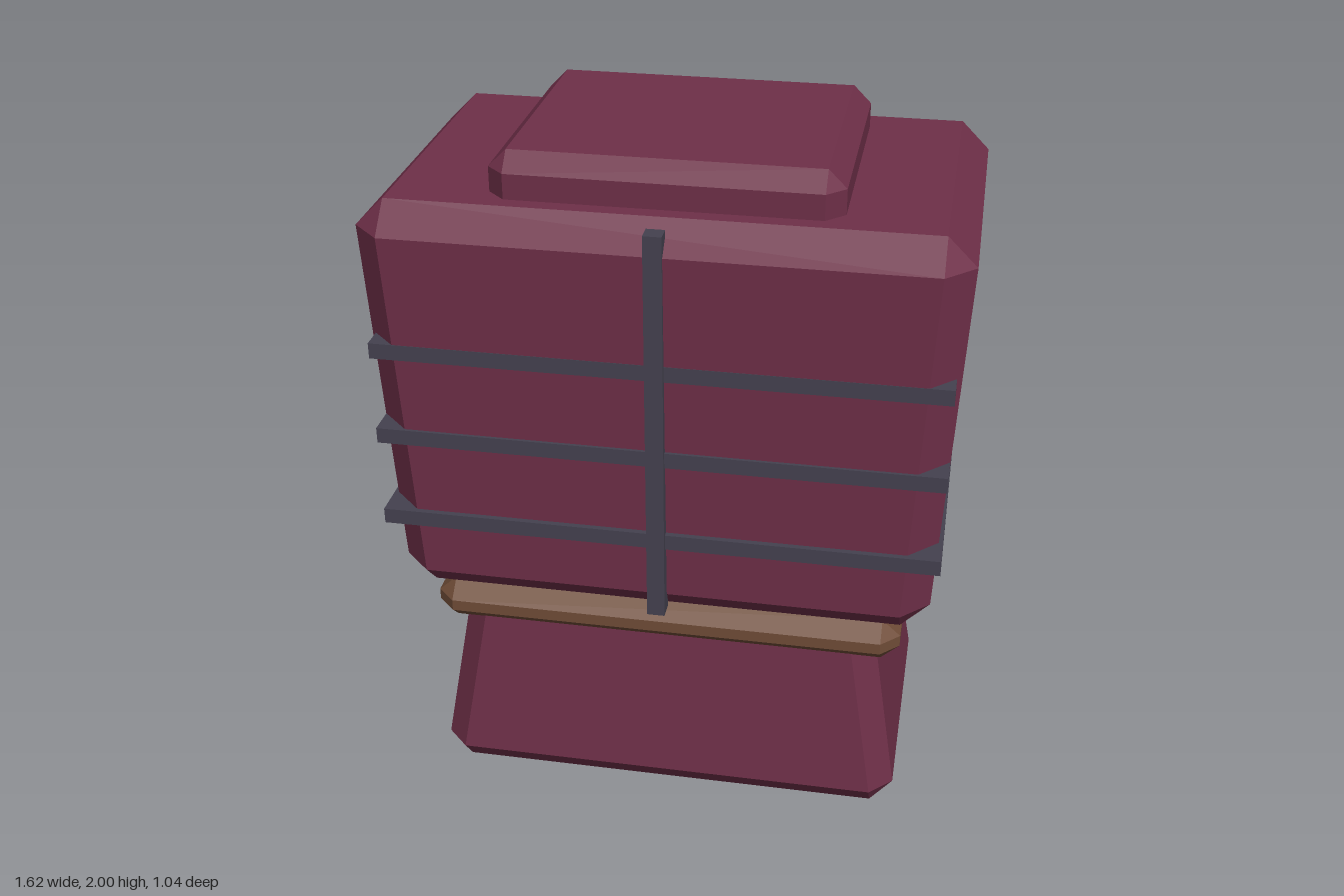
import * as THREE from 'three';
import { ConvexGeometry } from 'three/addons/geometries/ConvexGeometry.js';

const mat = (name, color) => {
  const m = new THREE.MeshStandardMaterial({ color });
  m.name = name;
  return m;
};

// Box with chamfered edges and corners; low and high are the half sizes [x, z]
// at the lower and upper chamfer lines, so the sides may taper.
function chamferBox(y0, y1, low, high, inset, rise = inset) {
  const pts = [];
  const ends = [[y0, y0 + rise, low], [y1, y1 - rise, high]];
  for (const [yCap, yRing, [hx, hz]] of ends)
    for (const sx of [-1, 1])
      for (const sz of [-1, 1])
        pts.push(
          new THREE.Vector3(sx * (hx - inset), yCap, sz * (hz - inset)),
          new THREE.Vector3(sx * hx, yRing, sz * (hz - inset)),
          new THREE.Vector3(sx * (hx - inset), yRing, sz * hz)
        );
  return new ConvexGeometry(pts);
}

export function createModel() {
  const group = new THREE.Group();
  const maroon = mat('maroon', 0x6e2f48);
  const brown = mat('brown', 0x6f4c37);
  const slate = mat('slate', 0x44414f);

  const add = (name, geometry, material, y = 0, z = -0.003) => {
    const mesh = new THREE.Mesh(geometry, material);
    mesh.name = name;
    mesh.position.set(0, y, z);
    group.add(mesh);
  };

  // Main masses, from the ground up
  add('base', chamferBox(0, 0.65, [0.69, 0.433], [0.608, 0.382], 0.066, 0.08), maroon);
  add('collar', chamferBox(0.54, 0.67, [0.683, 0.432], [0.683, 0.432], 0.053, 0.048), brown);
  add('body', chamferBox(0.68, 1.88, [0.76, 0.487], [0.812, 0.517], 0.08), maroon);
  add('topSlab', chamferBox(1.8, 2, [0.47, 0.392], [0.47, 0.392], 0.05), maroon);

  // Horizontal bands through the body, emerging at its faces and corners
  for (const y of [0.947, 1.207, 1.467])
    add('band', new THREE.BoxGeometry(1.565, 0.045, 1.019), slate, y);

  // Upright strip on the front
  add('frontStrip', new THREE.BoxGeometry(0.05, 1.15, 0.05), slate, 1.285, 0.495);

  return group;
}
